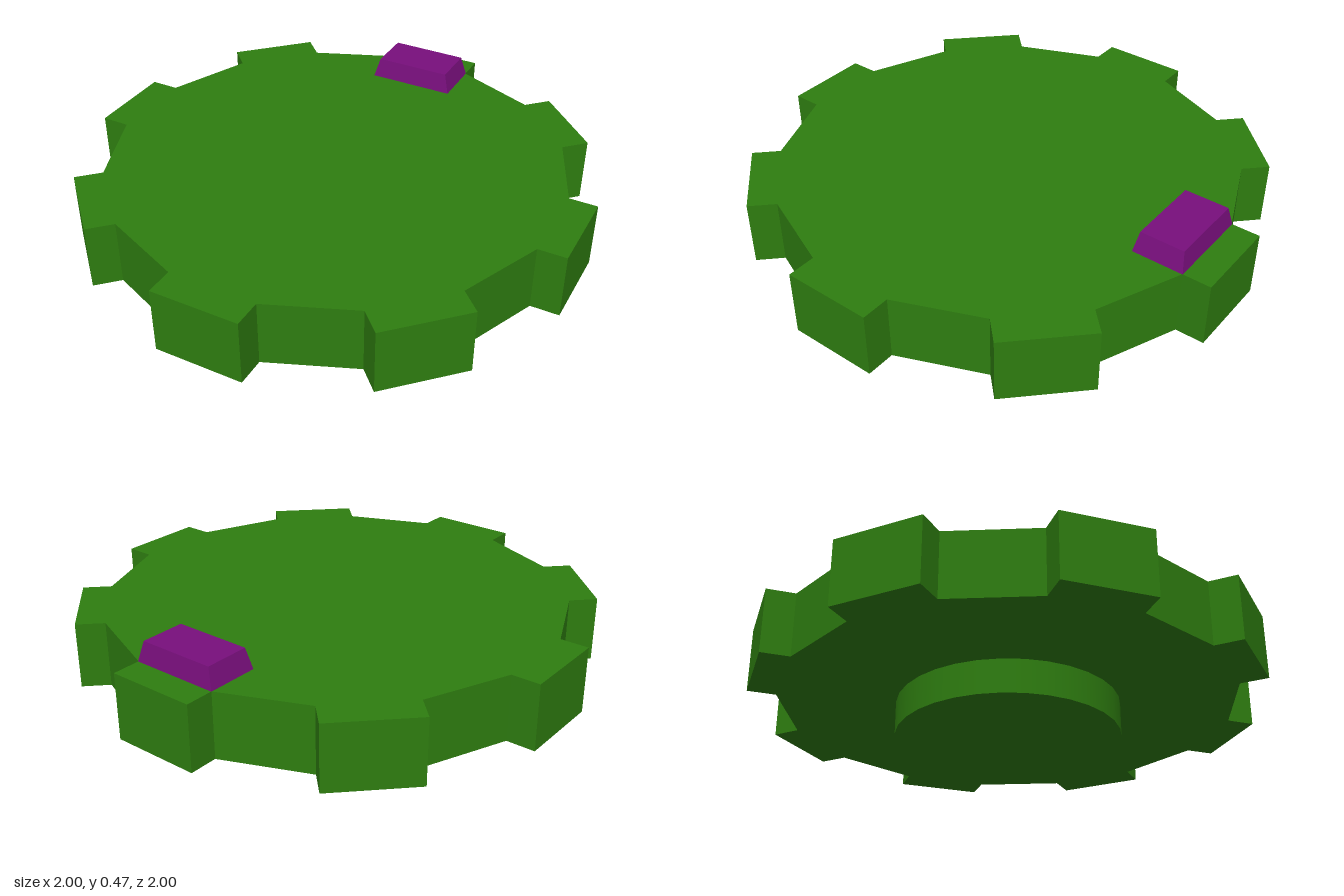
import * as THREE from 'three';

const GREEN = 0x2e7d10, PURPLE = 0x780f7c;

export function createModel() {
  const group = new THREE.Group();
  group.name = 'cogWheel';
  const green = new THREE.MeshStandardMaterial({ color: GREEN });
  const purple = new THREE.MeshStandardMaterial({ color: PURPLE });

  const add = (name, geometry, material, x, y, z) => {
    const mesh = new THREE.Mesh(geometry, material);
    mesh.name = name;
    mesh.position.set(x, y, z);
    group.add(mesh);
    return mesh;
  };

  // Toothed disc: eight square teeth joined by straight root edges
  const teeth = 8, half = 0.175, root = 0.888, tip = 1;
  const points = [];
  for (let i = 0; i < teeth; i++) {
    const a = (i / teeth) * Math.PI * 2;
    for (const [r, w] of [[root, -half], [tip, -half], [tip, half], [root, half]]) {
      points.push(new THREE.Vector2(r, w).rotateAround(new THREE.Vector2(), a));
    }
  }
  const disc = new THREE.ExtrudeGeometry(new THREE.Shape(points), { depth: 0.26, bevelEnabled: false });
  disc.rotateX(-Math.PI / 2);
  add('toothedDisc', disc, green, 0, 0.135, 0);

  // Round hub under the disc, with a shaft ending flush in its middle
  const hubProfile = [[0.228, 0], [0.443, 0], [0.443, 0], [0.443, 0.135]].map(([r, y]) => new THREE.Vector2(r, y));
  const hubWall = new THREE.CylinderGeometry(0.443, 0.443, 0.135, 32, 1, true);
  add('hubWall', hubWall, green, 0, 0.0675, 0);
  const hubFace = new THREE.RingGeometry(0.228, hubProfile[1].x, 32);
  hubFace.rotateX(Math.PI / 2);
  add('hubFace', hubFace, green, 0, 0, 0);
  const shaftEnd = new THREE.CircleGeometry(0.228, 32);
  shaftEnd.rotateX(Math.PI / 2);
  add('shaftEnd', shaftEnd, green, 0, 0, 0);

  // Marker block near the back tooth, tapering towards its top
  const w = 0.352, h = 0.08, d = 0.205, inset = 0.022;
  const marker = new THREE.BoxGeometry(w, h, d).toNonIndexed();
  const p = marker.attributes.position;
  for (let i = 0; i < p.count; i++) {
    if (p.getY(i) > 0) {
      p.setX(i, p.getX(i) - Math.sign(p.getX(i)) * inset);
      p.setZ(i, p.getZ(i) - Math.sign(p.getZ(i)) * 0.014);
    }
  }
  marker.computeVertexNormals();
  add('markerBlock', marker, purple, 0, 0.395 + h / 2, -0.787);

  return group;
}
